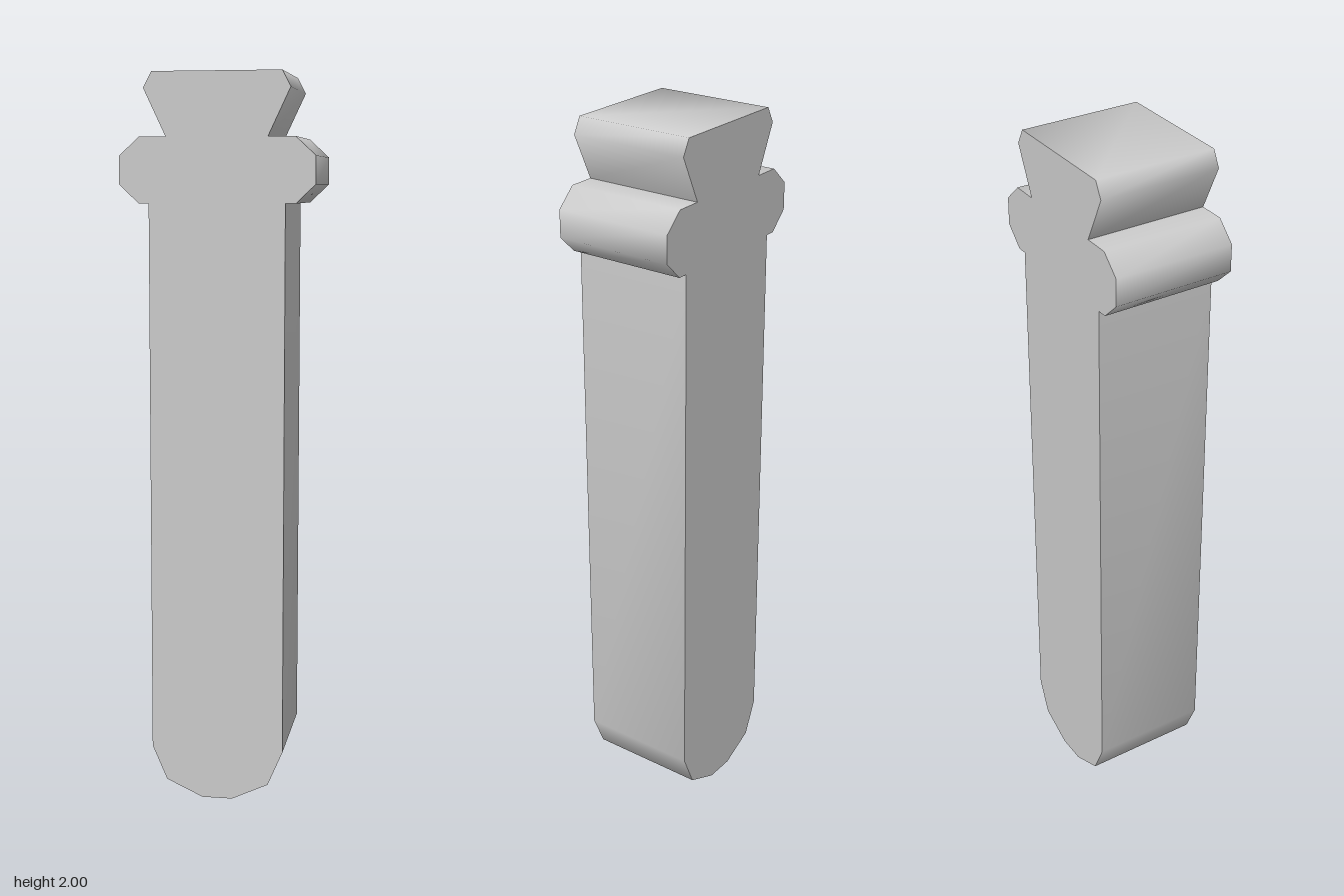
import * as THREE from 'three';
import { toCreasedNormals } from 'three/addons/utils/BufferGeometryUtils.js';

const DEPTH = 0.338;

// Right half of the outline, from the rounded foot up to the flared head
const halfProfile = [
  [0.042, 0], [0.143, 0.047], [0.184, 0.143],                 // rounded foot
  [0.184, 1.655], [0.212, 1.655],                             // shaft up to the collar
  [0.264, 1.705], [0.264, 1.78], [0.21, 1.83],                // bulging collar
  [0.137, 1.83], [0.197, 1.957], [0.174, 2],                  // neck and flared head
];

export function createModel() {
  const group = new THREE.Group();
  group.name = 'peg';

  // Mirror the half outline to close the shape
  const mirrored = halfProfile.map(([x, y]) => [-x, y]).reverse();
  const outline = [...halfProfile, ...mirrored].map(([x, y]) => new THREE.Vector2(x, y));

  const extruded = new THREE.ExtrudeGeometry(new THREE.Shape(outline), {
    depth: DEPTH,
    bevelEnabled: false,
  });
  extruded.translate(0, 0, -DEPTH / 2);

  // Chamfers shade as soft curves; end faces and inner corners stay sharp
  const geometry = toCreasedNormals(extruded, THREE.MathUtils.degToRad(70));
  const body = new THREE.Mesh(geometry, new THREE.MeshStandardMaterial({ color: 0xcccccc }));
  body.name = 'pegBody';
  group.add(body);

  return group;
}
